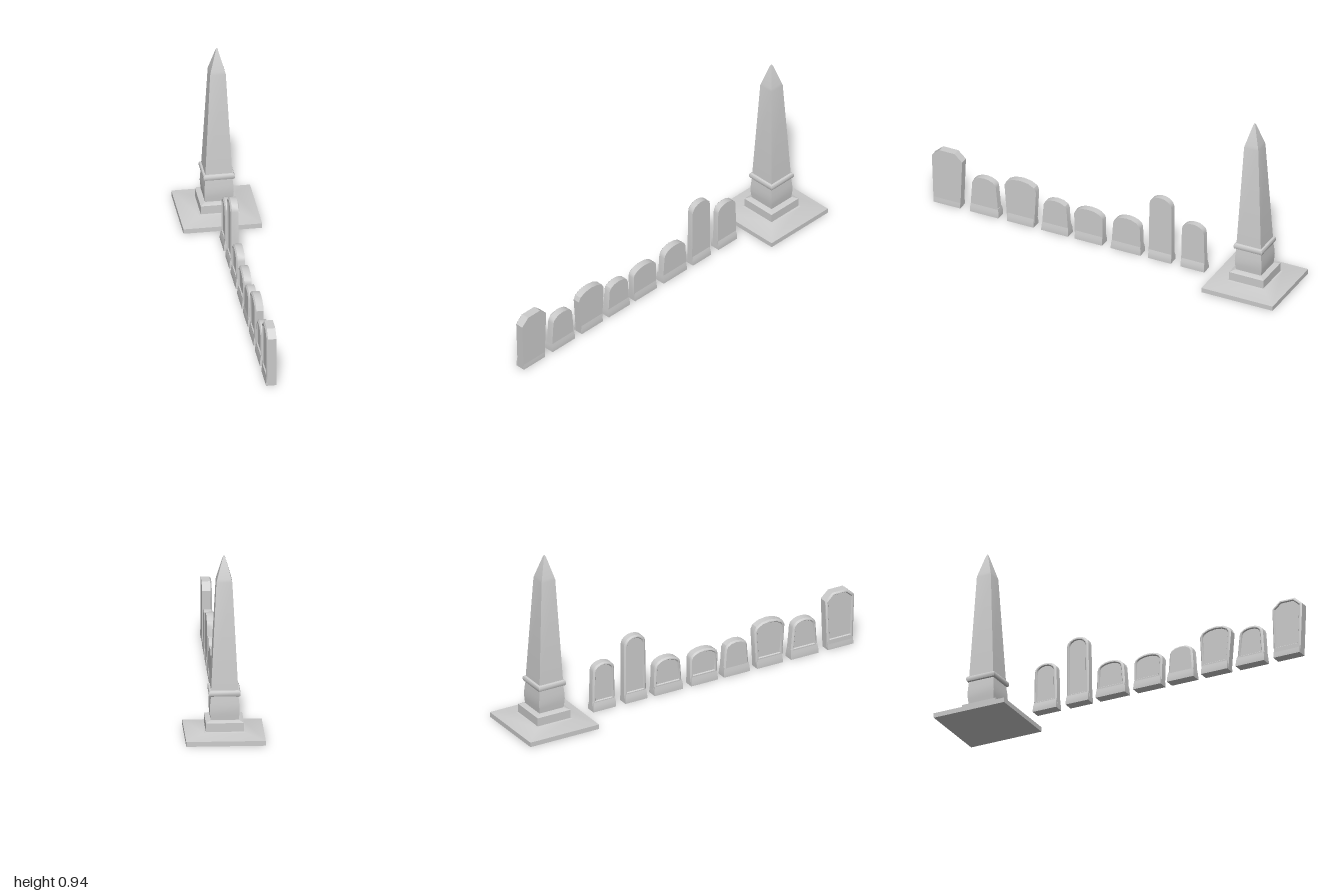
import * as THREE from 'three';
import { toCreasedNormals } from 'three/addons/utils/BufferGeometryUtils.js';

const stone = new THREE.MeshStandardMaterial({ color: 0xcccccc });
stone.name = 'pale stone';

// Skin a stack of matching rings (counter-clockwise about the stacking axis) and cap both ends
function loft(rings, name) {
  const pos = [];
  const tri = (...pts) => pts.forEach((p) => pos.push(p.x, p.y, p.z));
  const n = rings[0].length;
  const last = rings[rings.length - 1];
  for (let k = 0; k < rings.length - 1; k++) {
    const a = rings[k], b = rings[k + 1];
    for (let i = 0; i < n; i++) {
      const j = (i + 1) % n;
      tri(a[i], a[j], b[j]);
      tri(a[i], b[j], b[i]);
    }
  }
  for (let i = 1; i < n - 1; i++) {
    tri(rings[0][0], rings[0][i + 1], rings[0][i]);
    tri(last[0], last[i], last[i + 1]);
  }
  const geo = new THREE.BufferGeometry();
  geo.setAttribute('position', new THREE.Float32BufferAttribute(pos, 3));
  geo.computeVertexNormals();
  const mesh = new THREE.Mesh(toCreasedNormals(geo, 0.55), stone);
  mesh.name = name;
  return mesh;
}

// Horizontal rectangle ring
const rect = (hx, hz, y, z = 0) => [[1, -1], [-1, -1], [-1, 1], [1, 1]]
  .map(([sx, sz]) => new THREE.Vector3(sx * hx, y, z + sz * hz));

// Square tower section from [half width, height] pairs
const squareStack = (profile, name) => loft(profile.map(([h, y]) => rect(h, h, y)), name);

function obelisk() {
  const g = new THREE.Group();
  g.name = 'obelisk';
  g.position.z = -0.8;
  g.add(
    squareStack([[0.2, 0], [0.2, 0.025], [0.105, 0.042], [0.098, 0.045]], 'baseSlab'),
    squareStack([[0.096, 0.04], [0.096, 0.09], [0.072, 0.1]], 'plinth'),
    squareStack([[0.07, 0.095], [0.073, 0.125], [0.075, 0.15], [0.073, 0.185], [0.069, 0.225]], 'pedestal'),
    squareStack([[0.07, 0.222], [0.077, 0.225], [0.08, 0.233], [0.08, 0.243], [0.077, 0.25], [0.068, 0.254]], 'band'),
    squareStack([[0.069, 0.24], [0.04, 0.81], [0.036, 0.826], [0.006, 0.932], [0.0015, 0.942]], 'shaft'),
  );
  return g;
}

// Upright slab facing -x, with bevelled edge, sunken panel and a flared foot
function headstone({ base, shoulder, rise, top, thick = 0.022, segs = 8, panel = true }) {
  const g = new THREE.Group();
  g.name = 'headstone';
  const mid = (base[0] + base[1]) / 2;
  const outline = [[base[0], 0]];
  const sMid = (shoulder[0] + shoulder[1]) / 2;
  const sHalf = (shoulder[0] - shoulder[1]) / 2;
  for (let i = 0; i <= segs; i++) {
    const a = (Math.PI * i) / segs;
    outline.push([sMid + sHalf * Math.cos(a), rise + (top - rise) * Math.sin(a)]);
  }
  outline.push([base[1], 0]);

  // Outline at depth x, shrunk by d and lifted clear of the foot
  const ring = (x, d = 0, lift = 0) => outline.map(([z, y]) => new THREE.Vector3(
    x,
    lift + d + (y * (top - 2 * d - lift)) / top,
    sMid + (z - sMid) * (1 - d / sHalf),
  ));
  const rings = [ring(thick), ring(-thick + 0.007), ring(-thick, 0.008)];
  if (panel) rings.push(ring(-thick, 0.013, 0.04), ring(-thick + 0.006, 0.017, 0.04));
  g.add(loft(rings, 'slab'));

  const hz = (base[0] - base[1]) / 2;
  g.add(loft([
    rect(0.027, hz, 0, mid),
    rect(0.027, hz, 0.012, mid),
    rect(0.025, hz - 0.001, 0.03, mid),
    rect(thick - 0.001, hz - 0.004, 0.052, mid),
  ], 'foot'));
  return g;
}

// Front to back: z extents at foot and shoulder, shoulder height, top height
const stones = [
  { base: [0.99, 0.84], shoulder: [1, 0.83], rise: 0.272, top: 0.317, thick: 0.025, segs: 3 },
  { base: [0.786, 0.626], shoulder: [0.775, 0.642], rise: 0.17, top: 0.21 },
  { base: [0.578, 0.428], shoulder: [0.594, 0.417], rise: 0.207, top: 0.253, segs: 6 },
  { base: [0.385, 0.235], shoulder: [0.374, 0.246], rise: 0.152, top: 0.187, segs: 6, panel: false },
  { base: [0.198, 0.043], shoulder: [0.203, 0.043], rise: 0.145, top: 0.187 },
  { base: [-0.005, -0.171], shoulder: [-0.016, -0.166], rise: 0.15, top: 0.195 },
  { base: [-0.214, -0.342], shoulder: [-0.219, -0.342], rise: 0.32, top: 0.366, thick: 0.02 },
  { base: [-0.396, -0.529], shoulder: [-0.401, -0.524], rise: 0.22, top: 0.262, thick: 0.02 },
];

export function createModel() {
  const model = new THREE.Group();
  model.name = 'graveyardRow';
  model.add(obelisk());
  stones.forEach((s) => model.add(headstone(s)));
  return model;
}
